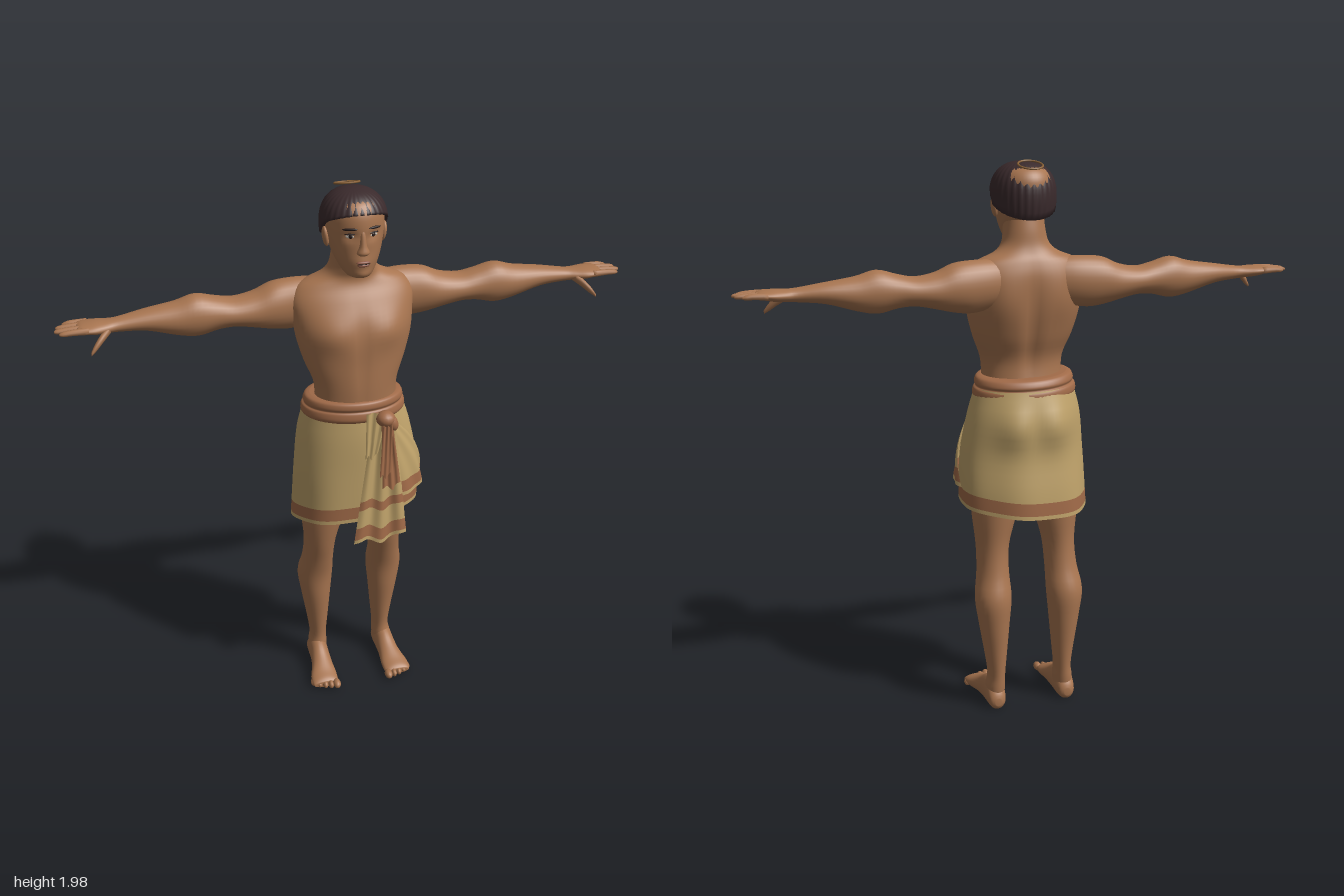
import * as THREE from 'three';

const paint = (name, color, double) => {
  const m = new THREE.MeshStandardMaterial({ color });
  m.name = name;
  if (double) m.side = THREE.DoubleSide;
  return m;
};
const gauss = (d, w) => Math.exp(-(d * d) / (w * w));
const lerp = (a, b, t) => a + (b - a) * t;

// Grid surface from fn(u, v, row); rowMat picks a material index per row
function surface(fn, nu, nv, closed, rowMat) {
  const pos = [], idx = [], cols = closed ? nu : nu + 1;
  const g = new THREE.BufferGeometry();
  for (let j = 0; j <= nv; j++)
    for (let i = 0; i < cols; i++) pos.push(...fn(i / nu, j / nv, j));
  for (let j = 0; j < nv; j++) {
    if (rowMat) g.addGroup(idx.length, nu * 6, rowMat(j));
    for (let i = 0; i < nu; i++) {
      const a = j * cols + i, b = j * cols + (i + 1) % cols;
      idx.push(a, b, b + cols, a, b + cols, a + cols);
    }
  }
  g.setAttribute('position', new THREE.Float32BufferAttribute(pos, 3));
  g.setIndex(idx);
  g.computeVertexNormals();
  return g;
}

// Smooth interpolation through sections, t in 0..1
function sample(s, t) {
  const f = t * (s.length - 1), k = Math.min(Math.floor(f), s.length - 2), w = f - k;
  const at = i => s[Math.max(0, Math.min(s.length - 1, i))];
  return s[k].map((p1, c) => {
    const p0 = at(k - 1)[c], p2 = at(k + 1)[c], p3 = at(k + 2)[c];
    return p1 + 0.5 * w * (p2 - p0 + w * (2 * p0 - 5 * p1 + 4 * p2 - p3 + w * (3 * (p1 - p2) + p3 - p0)));
  });
}

// Capped loft: sections are [along, centre1, centre2, radius1, radius2]
function loft(axis, secs, shape, nu = 28, steps = 4) {
  const nv = (secs.length - 1) * steps;
  return surface((u, v, j) => {
    const t = Math.max(0, Math.min(1, (j - 1) / nv)), a = u * Math.PI * 2;
    const [w, c1, c2, r1, r2] = sample(secs, t), k = j === 0 || j === nv + 2 ? 0 : 1;
    const s = Math.sin(a) * k, c = Math.cos(a) * k;
    let p = axis === 'y' ? [c1 + r1 * s, w, c2 + r2 * c]
      : axis === 'x' ? [w, c1 + r1 * c, c2 + r2 * s] : [c1 + r1 * c, c2 + r2 * s, w];
    return shape ? shape(p, a) : p;
  }, nu, nv + 2, true);
}

function mirrored(g) {
  const m = g.clone().scale(-1, 1, 1), ix = m.index.array;
  for (let i = 0; i < ix.length; i += 3) [ix[i], ix[i + 1]] = [ix[i + 1], ix[i]];
  m.computeVertexNormals();
  return m;
}

function ball([x, y, z], [sx, sy, sz], rz = 0) {
  return new THREE.SphereGeometry(1, 16, 10).scale(sx, sy, sz).rotateZ(rz).translate(x, y, z);
}

// Cross-section of the wrapped skirt at a given height and angle
const skirtSecs = [[0.7, 0, -0.035, 0.236, 0.178], [0.84, 0.006, -0.035, 0.234, 0.17], [0.98, 0.006, -0.03, 0.226, 0.156],
  [1.1, 0, -0.034, 0.205, 0.152], [1.24, -0.004, -0.028, 0.17, 0.13]];
function skirtPoint(a, y, out = 0) {
  const [, cx, cz, rx, rz] = sample(skirtSecs, Math.max(0, Math.min(1, (y - 0.7) / 0.54)));
  const x = cx + (rx + out) * Math.sin(a);
  const seat = Math.cos(a) < 0 ? 0.022 * gauss(y - 1.07, 0.07) * gauss(Math.abs(x) - 0.075, 0.06) : 0;
  return [x, y, cz + (rz + out) * Math.cos(a) - seat];
}

// Row heights: narrow edge, coloured band, then even rows to the top
const ROWS = 14;
const rowY = (j, hem, top) => j < 3 ? hem + [0, 0.014, 0.06][j]
  : lerp(hem + 0.06, top, (j - 2) / (ROWS - 2));

export function createModel() {
  const root = new THREE.Group();
  root.name = 'standingMan';
  const skin = paint('skin', 0xa87550), hair = paint('hair', 0x3a2a2c, true);
  const cloth = paint('cloth', 0xbfa26a, true), trim = paint('trim', 0xa06a48, true);
  const white = paint('eyeWhite', 0xd8cdbf), dark = paint('darkBrown', 0x261a18);
  const lip = paint('lip', 0x8f5845), gold = paint('ringBrown', 0x8a6238);
  const add = (name, geo, mat) => {
    const m = new THREE.Mesh(geo, mat);
    m.name = name;
    root.add(m);
  };
  const pair = (name, geo, mat) => {
    add(name + 'Left', geo, mat);
    add(name + 'Right', mirrored(geo), mat);
  };

  // Torso and neck, with chest muscles, breastbone and spine groove
  add('torso', loft('y', [[1.1, 0, -0.02, 0.16, 0.12], [1.22, 0, -0.01, 0.147, 0.108], [1.3, 0, -0.006, 0.15, 0.105],
    [1.38, 0, -0.02, 0.18, 0.116], [1.46, 0, -0.03, 0.202, 0.122], [1.54, 0, -0.042, 0.212, 0.115],
    [1.6, 0, -0.056, 0.215, 0.098], [1.645, 0, -0.064, 0.185, 0.077], [1.675, 0, -0.06, 0.115, 0.066],
    [1.705, 0, -0.05, 0.084, 0.066], [1.75, 0, -0.04, 0.074, 0.069], [1.8, 0, -0.032, 0.07, 0.066]],
  ([x, y, z], a) => {
    const c = Math.cos(a), ax = Math.abs(x);
    if (c > 0) z += 0.016 * gauss(ax - 0.1, 0.07) * gauss(y - 1.5, 0.05) - 0.006 * gauss(x, 0.018) * gauss(y - 1.4, 0.17);
    else z += 0.016 * gauss(x, 0.025) * gauss(y - 1.42, 0.17) - 0.012 * gauss(ax - 0.11, 0.06) * gauss(y - 1.52, 0.08);
    return [x, y, z];
  }, 56), skin);

  // Arms, hands and fingers
  pair('arm', loft('x', [[0.06, 1.575, -0.08, 0.075, 0.05], [0.14, 1.572, -0.09, 0.085, 0.062], [0.21, 1.567, -0.094, 0.09, 0.068],
    [0.27, 1.566, -0.094, 0.083, 0.071], [0.33, 1.56, -0.093, 0.063, 0.069], [0.4, 1.561, -0.091, 0.05, 0.065],
    [0.46, 1.565, -0.089, 0.057, 0.062], [0.53, 1.566, -0.087, 0.073, 0.063], [0.6, 1.563, -0.086, 0.058, 0.058],
    [0.7, 1.57, -0.085, 0.036, 0.046], [0.79, 1.568, -0.078, 0.024, 0.034], [0.83, 1.568, -0.075, 0.021, 0.04],
    [0.87, 1.57, -0.073, 0.02, 0.05], [0.91, 1.573, -0.073, 0.014, 0.05], [0.925, 1.574, -0.073, 0.008, 0.046]]), skin);
  [[-0.113, 0.972], [-0.087, 0.994], [-0.06, 1], [-0.034, 0.985]].forEach(([z, tip], i) =>
    pair('finger' + (i + 1), loft('x', [[0.89, 1.573, z, 0.012, 0.012], [0.94, 1.574, z, 0.01, 0.0115],
      [tip - 0.012, 1.572, z, 0.008, 0.01], [tip, 1.571, z, 0.003, 0.004]], null, 10, 3), skin));
  pair('thumb', loft('x', [[0.82, 1.565, -0.055, 0.015, 0.016], [0.85, 1.545, -0.03, 0.016, 0.016],
    [0.875, 1.522, -0.013, 0.013, 0.012], [0.892, 1.504, -0.003, 0.006, 0.006]], null, 12, 3), skin);

  // Legs, feet and toes
  pair('leg', loft('y', [[0.03, 0.134, -0.1, 0.033, 0.044], [0.08, 0.132, -0.1, 0.036, 0.048], [0.13, 0.129, -0.105, 0.032, 0.045],
    [0.22, 0.131, -0.104, 0.042, 0.053], [0.33, 0.135, -0.102, 0.056, 0.065], [0.43, 0.137, -0.099, 0.067, 0.071],
    [0.52, 0.131, -0.074, 0.059, 0.068], [0.62, 0.126, -0.054, 0.06, 0.075], [0.75, 0.116, -0.048, 0.083, 0.089],
    [0.95, 0.11, -0.045, 0.1, 0.105]]), skin);
  pair('foot', loft('z', [[-0.156, 0.135, 0.028, 0.012, 0.014], [-0.143, 0.135, 0.033, 0.03, 0.036], [-0.1, 0.135, 0.05, 0.037, 0.06],
    [-0.05, 0.136, 0.046, 0.037, 0.056], [0, 0.139, 0.034, 0.041, 0.04], [0.05, 0.145, 0.023, 0.051, 0.027],
    [0.085, 0.147, 0.018, 0.051, 0.02], [0.1, 0.147, 0.016, 0.046, 0.012]],
  ([x, y, z]) => [x, Math.max(y, 0), z]), skin);
  for (let i = 0; i < 5; i++)
    pair('toe' + (i + 1), ball([0.108 + i * 0.021 - (i ? 0 : 0.002), 0.017 - i * 0.001, 0.107 - i * i * 0.0022],
      [i ? 0.0105 : 0.015, 0.016 - i * 0.001, i ? 0.018 : 0.024]), skin);

  // Head with nose, ears, eyes, brows and mouth
  add('head', loft('y', [[1.698, 0, 0.025, 0.022, 0.028], [1.706, 0, 0.026, 0.042, 0.055], [1.73, 0, 0.014, 0.06, 0.076],
    [1.77, 0, 0, 0.079, 0.092], [1.82, 0, -0.016, 0.093, 0.108], [1.87, 0, -0.026, 0.1, 0.118],
    [1.92, 0, -0.03, 0.097, 0.114], [1.955, 0, -0.03, 0.07, 0.085], [1.965, 0, -0.03, 0.02, 0.03]],
  ([x, y, z], a) => {
    if (Math.cos(a) > 0) z += 0.006 * gauss(y - 1.76, 0.02) * gauss(x, 0.03) + 0.006 * gauss(y - 1.72, 0.014) * gauss(x, 0.03)
      - 0.009 * gauss(y - 1.85, 0.016) * gauss(Math.abs(x) - 0.038, 0.022);
    return [x, y, z];
  }, 48, 5), skin);
  add('nose', loft('y', [[1.787, 0, 0.088, 0.014, 0.012], [1.797, 0, 0.091, 0.022, 0.02], [1.82, 0, 0.088, 0.013, 0.017],
    [1.86, 0, 0.085, 0.009, 0.01], [1.875, 0, 0.083, 0.008, 0.004]], null, 16), skin);
  pair('ear', ball([0.099, 1.825, -0.015], [0.011, 0.035, 0.02], -0.12), skin);
  const onFace = (geo, yaw, x, y, z) => geo.rotateY(yaw).translate(x, y, z);
  pair('eye', onFace(ball([0, 0, 0], [0.017, 0.007, 0.004]), 0.38, 0.038, 1.85, 0.074), white);
  pair('iris', onFace(ball([0, 0, 0], [0.007, 0.0068, 0.0035]), 0.38, 0.0385, 1.85, 0.0768), dark);
  pair('eyelid', onFace(ball([0, 0, 0], [0.02, 0.0028, 0.0045], -0.06), 0.38, 0.039, 1.858, 0.076), dark);
  pair('eyebrow', onFace(ball([0, 0, 0], [0.025, 0.0045, 0.0045], -0.05), 0.42, 0.042, 1.876, 0.0815), dark);
  add('upperLip', ball([0, 1.764, 0.096], [0.024, 0.0055, 0.007]), lip);
  add('lowerLip', ball([0, 1.754, 0.095], [0.02, 0.006, 0.007]), lip);
  add('mouthLine', ball([0, 1.7595, 0.0995], [0.022, 0.0014, 0.004]), dark);

  // Ridged cap of hair: low at the nape, high over the forehead
  add('hair', surface((u, v, j) => {
    const a = u * Math.PI * 2, c = Math.cos(a);
    const hem = c > 0 ? 1.842 + 0.078 * Math.pow(c, 0.6) : 1.842 - 0.055 * Math.pow(-c, 0.8);
    const t = Math.max(0, (j - 1) / 16), y = lerp(hem, 1.978, 1 - (1 - t) * (1 - t));
    const s = (y - 1.86) / 0.118;
    let f = s > 0 ? Math.pow(Math.max(0, 1 - Math.pow(s, 2.5)), 0.45) : 1 - 0.2 * s * s;
    f *= (1 + 0.012 * Math.cos(30 * a)) * (j === 0 ? 0.82 : 1);
    return [0.113 * f * Math.sin(a), y, -0.028 + 0.123 * f * c];
  }, 120, 17, true), hair);
  add('hairRing', new THREE.TorusGeometry(0.042, 0.0035, 8, 36).rotateX(Math.PI / 2 - 0.27).translate(0, 1.968, -0.108), gold);

  // Wrapped skirt with a coloured band above the hem
  const fabric = [cloth, trim], oneBand = j => j === 1 ? 1 : 0;
  add('skirt', surface((u, v, j) => {
    const a = u * Math.PI * 2;
    const hem = 0.765 + 0.02 * Math.cos(a) + 0.018 * Math.sin(a);
    const y = rowY(j, hem, 1.2);
    return skirtPoint(a, y, 0.003 * Math.sin(7 * a) * (1.2 - y) / 0.4);
  }, 80, ROWS, true, oneBand), fabric);

  // Overlapping flap that sweeps round to the left hip
  add('skirtFlap', surface((u, v, j) => {
    const hem = lerp(0.865, 0.85, u), y = rowY(j, hem, 1.19), d = (1.19 - y) / 0.34;
    const a = lerp(0.25 - 0.2 * d, 0.42 + 1.35 * Math.pow(d, 0.8), u);
    return skirtPoint(a, y, 0.008 + 0.015 * d * Math.sin(u * Math.PI) + 0.004 * d * Math.sin(u * 22));
  }, 36, ROWS, false, oneBand), fabric);

  // Pleated hanging panels: bottom and top [xMin, xMax, y, z]
  const panel = ([x0, x1, y0, z0], [x2, x3, y1, z1], pleat) => (u, v, j) => {
    const y = rowY(j, y0 + 0.01 * Math.sin(u * 9), y1), t = (y - y0) / (y1 - y0);
    return [lerp(lerp(x0, x1, u), lerp(x2, x3, u), t), y, lerp(z0, z1, t) + pleat * Math.sin(u * 16) - 0.02 * u * u * (1 - t)];
  };
  add('frontPanel', surface(panel([-0.055, 0.15, 0.715, 0.175], [0.025, 0.105, 1.2, 0.135], 0.007), 30, ROWS, false,
    j => j === 1 || j === 4 ? 1 : 0), fabric);
  add('foldedFan', surface(panel([-0.01, 0.04, 1.06, 0.165], [0.0, 0.08, 1.225, 0.14], 0.005), 16, ROWS), cloth);
  add('sashTailLong', surface(panel([0.045, 0.118, 0.945, 0.192], [0.045, 0.085, 1.2, 0.17], 0.005), 14, ROWS), trim);
  add('sashTailShort', surface(panel([0.03, 0.08, 1.0, 0.205], [0.05, 0.085, 1.2, 0.176], 0.004), 14, ROWS), trim);

  // Rolled waist sash and its knot
  add('sash', loft('y', [[1.165, -0.004, -0.028, 0.178, 0.135], [1.18, -0.004, -0.028, 0.188, 0.143], [1.202, -0.004, -0.028, 0.185, 0.14],
    [1.21, -0.004, -0.026, 0.176, 0.133], [1.222, -0.004, -0.025, 0.18, 0.137], [1.24, -0.004, -0.022, 0.173, 0.13],
    [1.246, -0.004, -0.02, 0.155, 0.115]],
  ([x, y, z]) => [x, y + 0.008 * z / 0.14 - 0.004 * x / 0.18, z], 48), trim);
  add('sashKnot', ball([0.065, 1.205, 0.152], [0.034, 0.028, 0.034]), trim);
  add('sashLoop', ball([0.085, 1.19, 0.158], [0.022, 0.034, 0.022], 0.4), trim);
  return root;
}
